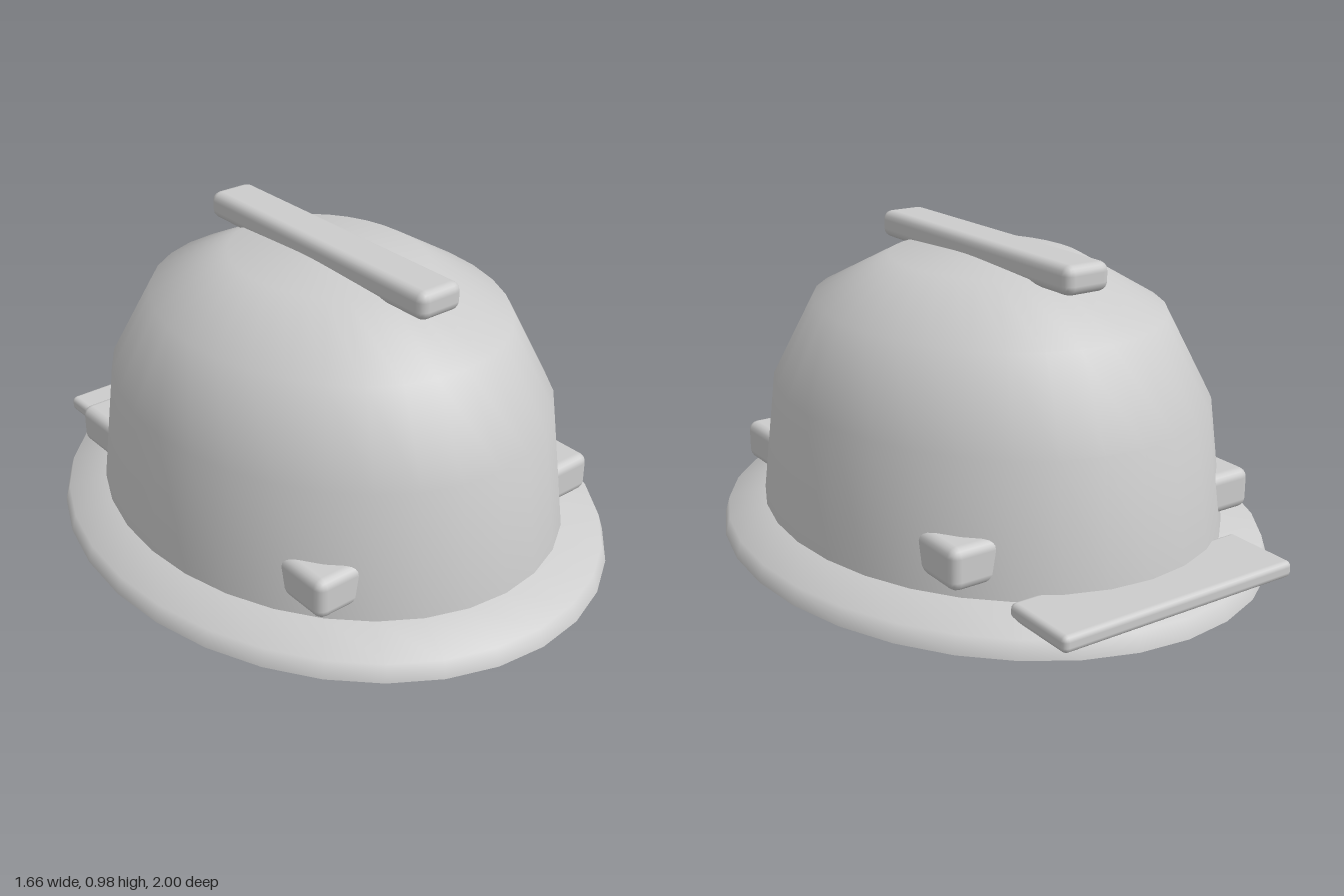
import * as THREE from 'three';
import { RoundedBoxGeometry } from 'three/addons/geometries/RoundedBoxGeometry.js';

const SEGMENTS = 32;
const WIDTH_RATIO = 0.832; // the helmet is an oval, longer front to back

export function createModel() {
  const group = new THREE.Group();
  group.name = 'helmet';
  const grey = new THREE.MeshStandardMaterial({ color: 0xcccccc });
  grey.name = 'light grey';

  // Oval surface of revolution from [radius along z, height] points
  const oval = (name, profile) => {
    const geometry = new THREE.LatheGeometry(
      profile.map(([r, y]) => new THREE.Vector2(r, y)), SEGMENTS);
    geometry.scale(WIDTH_RATIO, 1, 1);
    const mesh = new THREE.Mesh(geometry, grey);
    mesh.name = name;
    group.add(mesh);
  };

  // Box with softened edges, given its size and centre
  const softBox = (name, [w, h, d], [x, y, z], radius) => {
    const mesh = new THREE.Mesh(new RoundedBoxGeometry(w, h, d, 2, radius), grey);
    mesh.name = name;
    mesh.position.set(x, y, z);
    group.add(mesh);
  };

  // Shell: outer crown, sloping brim, brim underside and inner lining
  oval('crown', [[0.84, 0.1], [0.786, 0.5], [0.632, 0.765], [0.35, 0.905], [0, 0.925]]);
  oval('brimTop', [[1, 0], [0.982, 0.055], [0.84, 0.1]]);
  oval('brimUnderside', [[0.83, 0.045], [0.97, 0], [1, 0]]);
  oval('innerLip', [[0.815, 0.085], [0.83, 0.045]]);
  oval('innerShell', [[0, 0.905], [0.34, 0.885], [0.615, 0.75], [0.767, 0.495], [0.815, 0.085]]);

  // Ridge along the top
  softBox('topRidge', [0.16, 0.09, 1.04], [0, 0.93, 0], 0.03);

  // Inner suspension block, whose four corners show through the shell as lugs
  softBox('suspensionBlock', [1.11, 0.13, 1.3], [0, 0.21, 0], 0.03);

  // Flat plate over the rear brim
  softBox('rearPlate', [0.84, 0.052, 0.255], [0, 0.093, -0.85], 0.018);

  return group;
}
